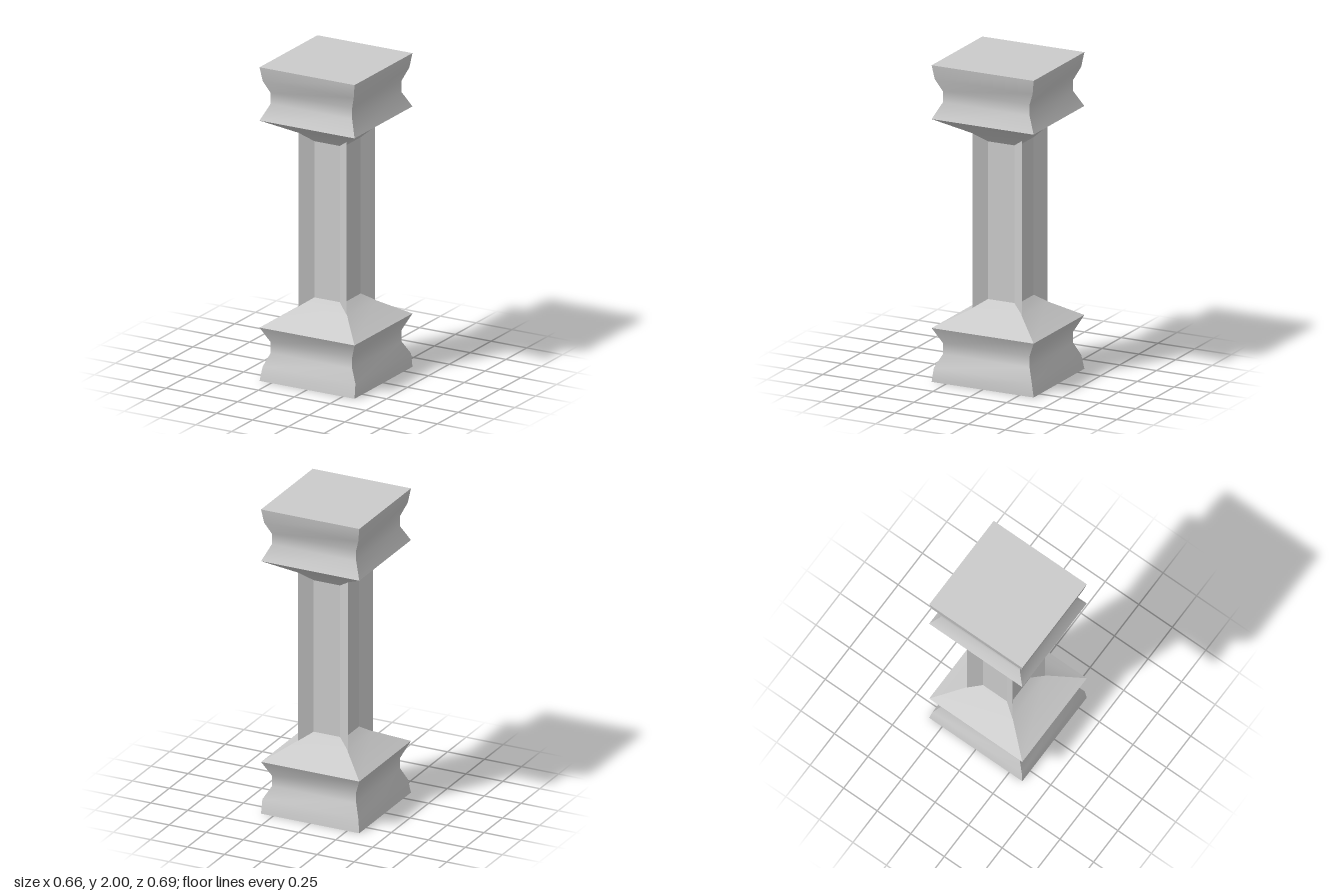
import * as THREE from 'three';
import { toCreasedNormals } from 'three/addons/utils/BufferGeometryUtils.js';

// Skin a list of closed rings, bottom to top; each ring is counterclockwise seen from the front of its normal
function loft(rings) {
  const n = rings[0].length;
  const index = [];
  for (let r = 0; r < rings.length - 1; r++) {
    for (let i = 0; i < n; i++) {
      const a = r * n + i, b = r * n + (i + 1) % n;
      index.push(a, b, b + n, a, b + n, a + n);
    }
  }
  const geometry = new THREE.BufferGeometry();
  geometry.setAttribute('position', new THREE.Float32BufferAttribute(rings.flat(2), 3));
  geometry.setIndex(index);
  return geometry;
}

// Rectangular ring: front left, front right, back right, back left
const ring = ([y, hx, hz, cz = 0]) =>
  [[-1, 1], [1, 1], [1, -1], [-1, -1]].map(([sx, sz]) => [sx * hx, y, sz * hz + cz]);

export function createModel() {
  const group = new THREE.Group();
  const material = new THREE.MeshStandardMaterial({ color: 0xcccccc, side: THREE.DoubleSide });
  const flat = new THREE.MeshStandardMaterial({ color: 0xcccccc, side: THREE.DoubleSide, flatShading: true });
  const add = (name, geometry, mat) => {
    const mesh = new THREE.Mesh(geometry, mat);
    mesh.name = name;
    group.add(mesh);
  };

  // Moulding profile: height, half width, half depth, depth offset
  const profile = [
    [0, 0.332, 0.347], [0.09, 0.318, 0.333], [0.17, 0.285, 0.295], [0.24, 0.285, 0.295],
    [0.34, 0.332, 0.347], [0.447, 0.168, 0.168, -0.0125], [0.502, 0.113, 0.115, -0.0125],
  ];

  // Base, open underneath, with a slightly squarer foot on its left side
  const baseRings = profile.map(ring);
  baseRings[1][1][0] = baseRings[1][2][0] = 0.33;
  add('base', toCreasedNormals(loft(baseRings), 0.7), material);

  // Capital: the same moulding upside down, closed on top
  const capital = profile.map(([y, ...rest]) => [2 - y, ...rest]).reverse();
  capital.push([2, 0, 0]);
  add('capital', toCreasedNormals(loft(capital.map(ring)), 0.7), material);

  // Shaft: square with each side recessed between its corners
  const section = [];
  for (let k = 0; k < 4; k++) {
    const c = Math.round(Math.cos(k * Math.PI / 2)), s = Math.round(Math.sin(k * Math.PI / 2));
    for (const [x, z] of [[-0.168, 0.168], [-0.089, 0.115], [0.089, 0.115]]) {
      section.push([x * c + z * s - 0.0025, -x * s + z * c - 0.0125]);
    }
  }
  add('shaft', loft([0.446, 1.554].map((y) => section.map(([x, z]) => [x, y, z]))), flat);
  group.getObjectByName('shaft').geometry.computeVertexNormals();

  return group;
}
